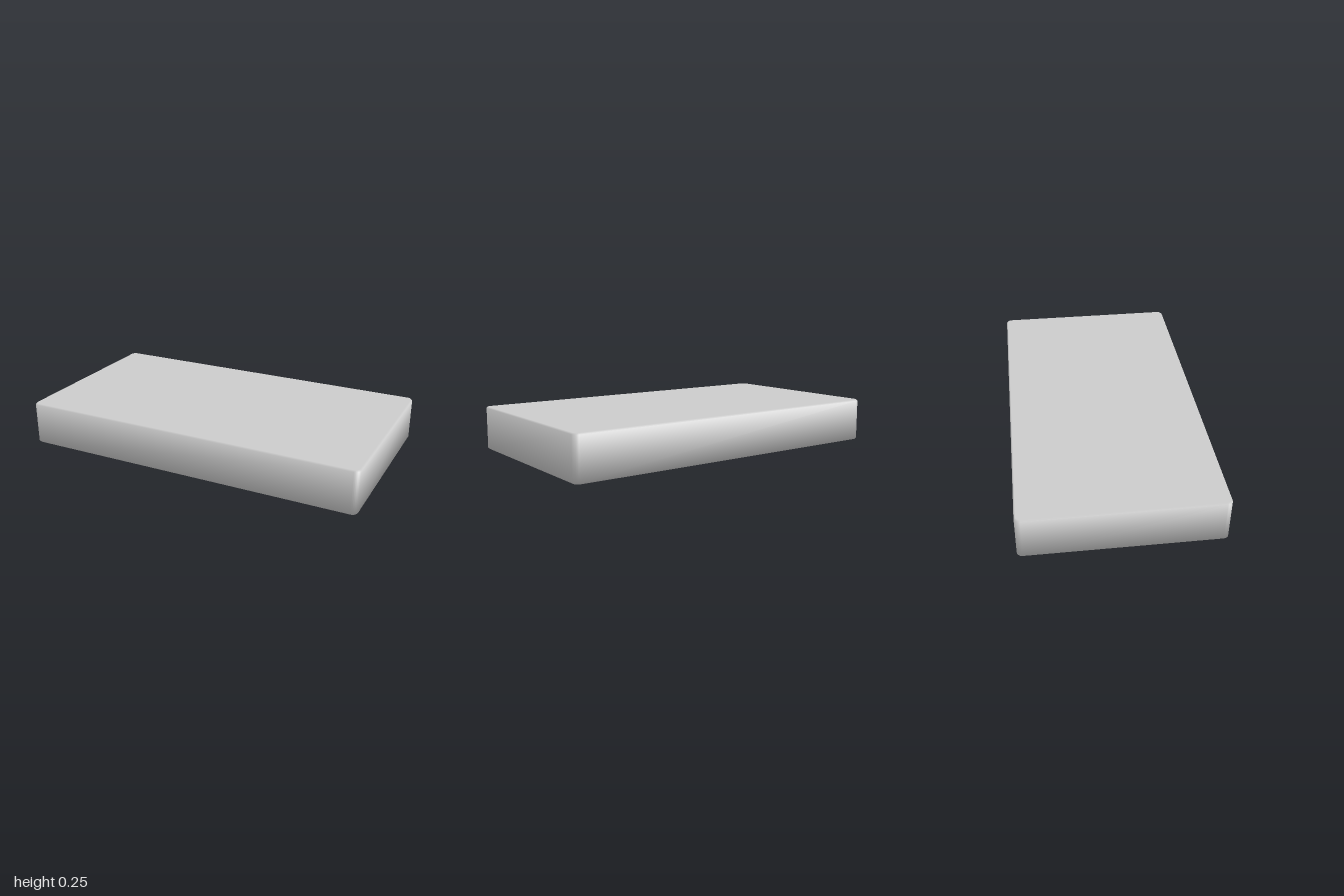
import * as THREE from 'three';

const W = 1, D = 0.545, H = 0.25;          // half width, half depth, height
const OPEN_X = 0.84, OPEN_Z = 0.45;        // half size of the opening underneath
const CEILING = 0.09;                      // height of the recess ceiling
const CORNER_STEPS = 6;

// Rounded-rectangle outline as [x, z, outward x, outward z]
function outline(hx, hz, r) {
  const pts = [];
  for (let q = 0; q < 4; q++) {
    const sx = q === 0 || q === 3 ? 1 : -1, sz = q < 2 ? 1 : -1;
    for (let k = 0; k <= CORNER_STEPS; k++) {
      const a = (q + k / CORNER_STEPS) * Math.PI / 2;
      const c = Math.cos(a), s = Math.sin(a);
      pts.push([sx * (hx - r) + r * c, sz * (hz - r) + r * s, c, s]);
    }
  }
  return pts;
}

// Skin over rings of [half x, half z, corner radius, y, normal outward, normal up]
function ringSkin(rings) {
  const pos = [], nor = [], idx = [], n = 4 * (CORNER_STEPS + 1);
  rings.forEach(([hx, hz, r, y, out, up], i) => {
    const len = Math.hypot(out, up);
    for (const [x, z, ox, oz] of outline(hx, hz, r)) {
      pos.push(x, y, z);
      nor.push(ox * out / len, up / len, oz * out / len);
    }
    if (i === 0) return;
    for (let j = 0; j < n; j++) {
      const k = (j + 1) % n, u = (i - 1) * n, l = i * n;
      idx.push(l + j, u + j, l + k, l + k, u + j, u + k);
    }
  });
  const g = new THREE.BufferGeometry();
  g.setAttribute('position', new THREE.Float32BufferAttribute(pos, 3));
  g.setAttribute('normal', new THREE.Float32BufferAttribute(nor, 3));
  g.setIndex(idx);
  return g;
}

export function createModel() {
  const group = new THREE.Group();
  const material = new THREE.MeshStandardMaterial({ color: 0xcccccc });
  const add = (name, geometry) => {
    const mesh = new THREE.Mesh(geometry, material);
    mesh.name = name;
    group.add(mesh);
    return mesh;
  };

  // Housing: top panel, softly shaded sides and the flat rim underneath
  const b = 0.008;
  add('housing', ringSkin([
    [0, 0, 0, H, 0, 1],
    [W - b, D - b, 0.025, H, 0, 1],
    [W, D, 0.03, H - b, 0.75, 0.66],
    [W, D, 0.03, b, 0.7, -0.7],
    [W - b, D - b, 0.025, 0, 0, -1],
    [OPEN_X, OPEN_Z, 0.03, 0, 0, -1],
  ]));

  // Recess: inner walls and ceiling
  add('recess', ringSkin([
    [OPEN_X, OPEN_Z, 0.03, 0, -1, 0],
    [OPEN_X, OPEN_Z, 0.03, CEILING, -1, 0],
    [OPEN_X, OPEN_Z, 0.03, CEILING, 0, -1],
    [0, 0, 0, CEILING, 0, -1],
  ]));

  // Four lamp tubes half sunk into the ceiling
  const tube = new THREE.CylinderGeometry(0.08, 0.08, 1.54, 32).rotateZ(Math.PI / 2);
  for (let i = 0; i < 4; i++) {
    add('lampTube' + (i + 1), tube).position.set(0, CEILING, (i - 1.5) * 0.216);
  }
  return group;
}
